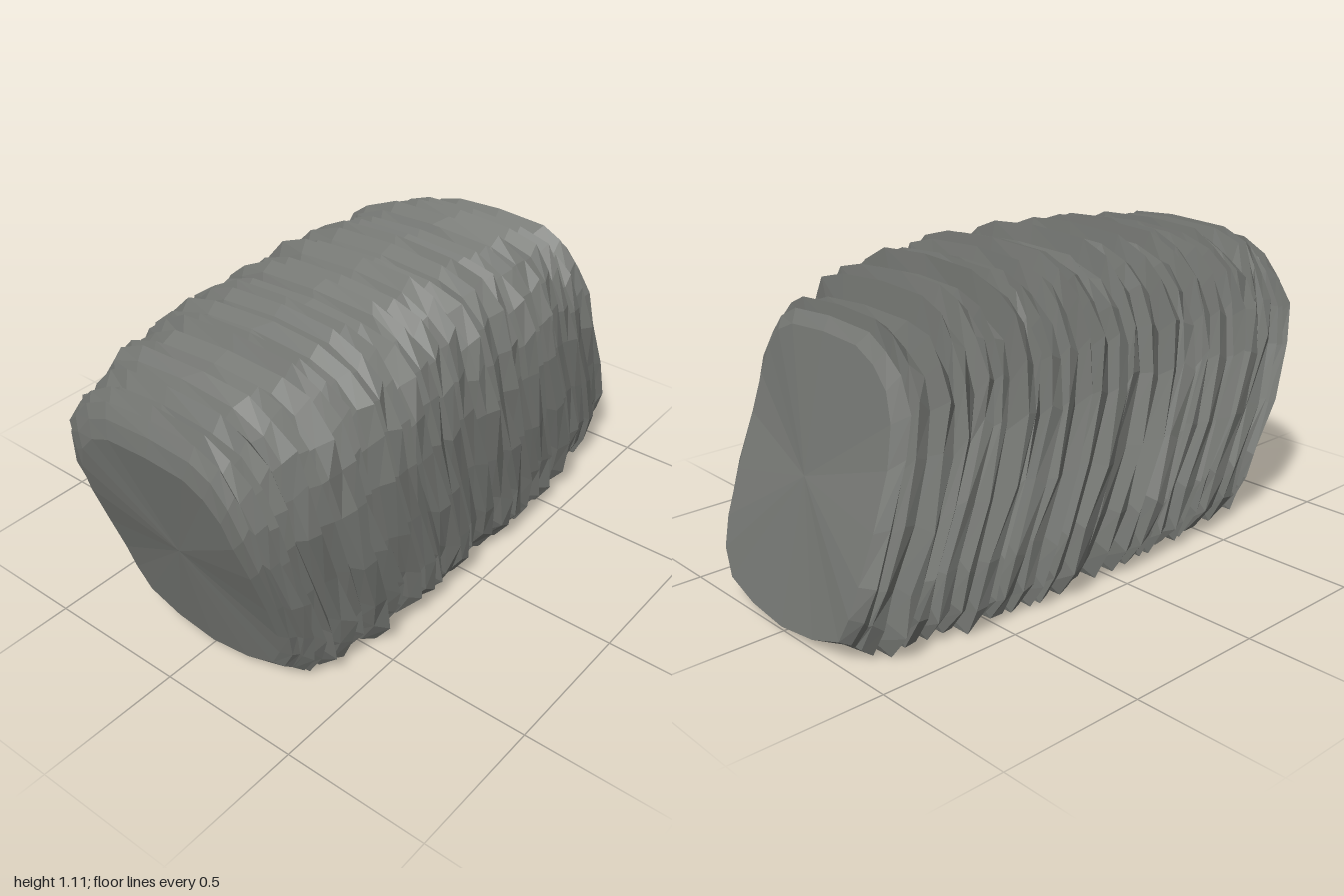
import * as THREE from 'three';

// Small seeded generator, returns -1..1
function seeded(seed) {
  let s = seed;
  return () => {
    s = (s * 16807) % 2147483647;
    return (s / 2147483647) * 2 - 1;
  };
}

// Half cross-section, as fractions of half width (z) and height (y)
const HALF = [
  [0, 0], [0.45, 0], [0.8, 0], [0.93, 0.09], [0.98, 0.22], [1, 0.43], [0.98, 0.64],
  [0.93, 0.78], [0.83, 0.88], [0.67, 0.95], [0.45, 0.99], [0, 1],
];
const SECTION = [...HALF, ...HALF.slice(1, -1).reverse().map(([z, y]) => [-z, y])];

// Crest of each rock layer: x and y where it shows along the top
const CRESTS = [
  [-0.97, 0.96], [-0.94, 0.99], [-0.91, 0.98], [-0.865, 1.01], [-0.79, 1.05], [-0.745, 1.05],
  [-0.655, 1.04], [-0.61, 1.07], [-0.565, 1.06], [-0.49, 1.07], [-0.42, 1.09], [-0.38, 1.09],
  [-0.30, 1.06], [-0.23, 1.10], [-0.15, 1.08], [-0.06, 1.11], [0.02, 1.07], [0.10, 1.09],
  [0.14, 1.10], [0.21, 1.08], [0.29, 1.06], [0.33, 1.07], [0.40, 1.08], [0.455, 1.03],
  [0.52, 1.05], [0.59, 1.03], [0.66, 0.97], [0.74, 0.98], [0.77, 0.95],
];

// Half width of the body at a given place on its spine
const WIDTHS = [
  [-0.9, 0.36], [-0.84, 0.42], [-0.7, 0.43], [-0.55, 0.46], [-0.3, 0.485], [-0.12, 0.495],
  [0.02, 0.475], [0.22, 0.495], [0.4, 0.475], [0.6, 0.45], [0.8, 0.42], [0.9, 0.375],
];
function widthAt(x) {
  let i = 1;
  while (i < WIDTHS.length - 1 && WIDTHS[i][0] < x) i++;
  const [x0, w0] = WIDTHS[i - 1], [x1, w1] = WIDTHS[i];
  return THREE.MathUtils.lerp(w0, w1, THREE.MathUtils.clamp((x - x0) / (x1 - x0), 0, 1));
}

// The layers lean towards -x in a gentle S, upright near the top
const LEAN = 0.1;
const lean = (y) => LEAN * Math.cos(Math.PI * Math.min(1, y / 0.85));

// "round" draws in the lower corners: 0 is square, 1 is fully rounded
function createRing(x, top, halfWidth, round, rough, random) {
  const end = THREE.MathUtils.smoothstep(Math.abs(x), 0.78, 0.9);
  const corner = Math.max(end, round);
  const jitter = rough * (1 - 0.5 * end);
  const shift = random() * 0.008;
  return SECTION.map(([fz, fy]) => {
    const lift = (end * 0.01 + corner * 0.1 * fz * fz) * Math.max(0, 1 - fy * 2);
    const y = lift + fy * top + (fy > 0 && fy < 0.97 ? random() * jitter : 0);
    const z = shift + fz * halfWidth + random() * jitter * (fz === 0 ? 2 : 1);
    return new THREE.Vector3(x + lean(y) + random() * jitter * 0.3, Math.max(0, y), z);
  });
}

function createRings() {
  const random = seeded(4271);
  const rings = [createRing(-0.9, 0.85, 0.34, 1, 0.008, random)];
  let previous = -0.895;
  CRESTS.forEach(([cx, top]) => {
    const x = cx + LEAN;
    const gap = x - previous;
    const depth = Math.min(1, gap / 0.06);
    const w = widthAt(x) + random() * 0.014;
    // Groove, gently rising slab, then a sharp crest
    const groove = w - 0.018 - 0.024 * depth;
    rings.push(createRing(previous + gap * 0.22, top - 0.03 - 0.035 * depth, groove, 0.6, 0.01, random));
    if (gap > 0.05) {
      rings.push(createRing(previous + gap * 0.5, top - 0.03, w - 0.008, 0.15, 0.012, random));
    }
    rings.push(createRing(x, top, w, 0, 0.017, random));
    previous = x;
  });
  rings.push(createRing(0.9, 0.91, 0.36, 1, 0.008, random));
  return rings;
}

function createRockGeometry() {
  const rings = createRings();
  const n = SECTION.length;
  const positions = [];
  const triangle = (...corners) => corners.forEach((p) => positions.push(p.x, p.y, p.z));

  // Ribbed skin between neighbouring rings
  for (let i = 0; i < rings.length - 1; i++) {
    for (let j = 0; j < n; j++) {
      const k = (j + 1) % n;
      const a = rings[i][j], b = rings[i][k], c = rings[i + 1][k], d = rings[i + 1][j];
      triangle(a, d, c);
      triangle(a, c, b);
    }
  }

  // Broad faces closing the two ends
  [[rings[0], false], [rings[rings.length - 1], true]].forEach(([ring, flip]) => {
    const middle = new THREE.Vector3();
    ring.forEach((p) => middle.addScaledVector(p, 1 / n));
    for (let j = 0; j < n; j++) {
      const a = ring[j], b = ring[(j + 1) % n];
      if (flip) triangle(middle, b, a);
      else triangle(middle, a, b);
    }
  });

  const geometry = new THREE.BufferGeometry();
  geometry.setAttribute('position', new THREE.Float32BufferAttribute(positions, 3));
  geometry.computeVertexNormals();
  return geometry;
}

export function createModel() {
  const group = new THREE.Group();
  group.name = 'layeredRock';
  const material = new THREE.MeshStandardMaterial({ color: 0x747672, flatShading: true });
  const rock = new THREE.Mesh(createRockGeometry(), material);
  rock.name = 'rockLayers';
  group.add(rock);
  return group;
}
